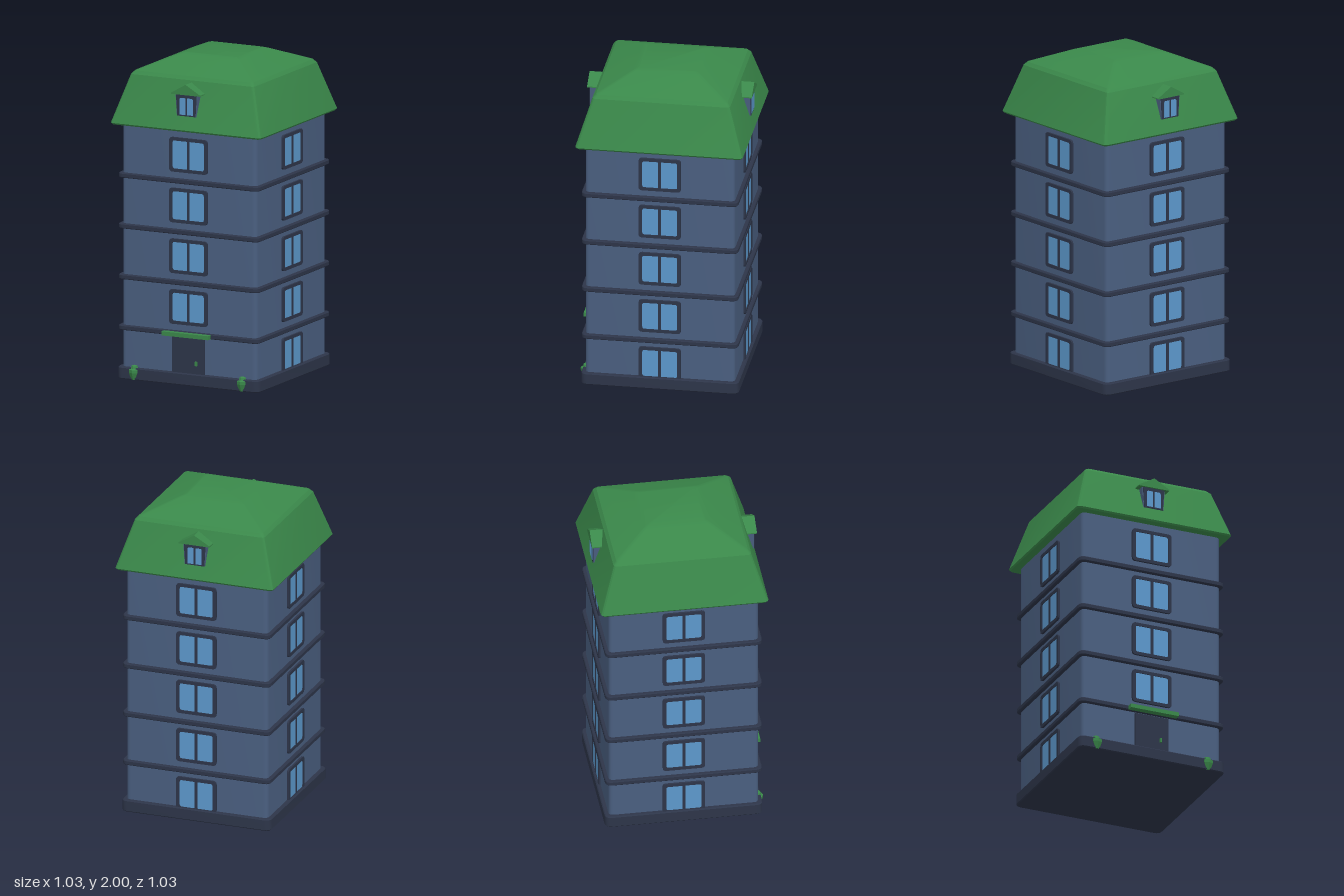
import * as THREE from 'three';
import { toCreasedNormals } from 'three/addons/utils/BufferGeometryUtils.js';

const mat = (name, color) => {
  const m = new THREE.MeshStandardMaterial({ color });
  m.name = name;
  return m;
};

export function createModel() {
  const wallBlue = mat('wallBlue', 0x4a5f80);
  const trimDark = mat('trimDark', 0x2d3549);
  const glassBlue = mat('glassBlue', 0x5c98cc);
  const roofGreen = mat('roofGreen', 0x3a884a);

  const model = new THREE.Group();
  model.name = 'towerHouse';

  const add = (parent, name, geometry, material, x = 0, y = 0, z = 0) => {
    const mesh = new THREE.Mesh(geometry, material);
    mesh.name = name;
    mesh.position.set(x, y, z);
    parent.add(mesh);
    return mesh;
  };
  const box = (parent, name, material, w, h, d, x, y, z) =>
    add(parent, name, new THREE.BoxGeometry(w, h, d), material, x, y, z);

  // Rounded rectangle outline; each corner may have its own radius (bl, br, tr, tl)
  const roundedRect = (x0, y0, x1, y1, [bl, br, tr, tl], Type = THREE.Shape) => {
    const s = new Type();
    s.moveTo(x0 + bl, y0);
    s.lineTo(x1 - br, y0);
    s.quadraticCurveTo(x1, y0, x1, y0 + br);
    s.lineTo(x1, y1 - tr);
    s.quadraticCurveTo(x1, y1, x1 - tr, y1);
    s.lineTo(x0 + tl, y1);
    s.quadraticCurveTo(x0, y1, x0, y1 - tl);
    s.lineTo(x0, y0 + bl);
    s.quadraticCurveTo(x0, y0, x0 + bl, y0);
    return s;
  };
  const extrude = (shape, depth) =>
    new THREE.ExtrudeGeometry(shape, { depth, bevelEnabled: false, curveSegments: 4 });

  // Upright square block with rounded vertical corners and softened rims
  const slab = (name, material, half, y0, y1, radius, bevel) => {
    const s = half - bevel;
    const g = new THREE.ExtrudeGeometry(roundedRect(-s, -s, s, s, Array(4).fill(radius)), {
      depth: y1 - y0 - 2 * bevel, bevelSize: bevel, bevelThickness: bevel,
      bevelEnabled: bevel > 0, bevelSegments: 1, curveSegments: 4,
    });
    g.rotateX(-Math.PI / 2);
    add(model, name, toCreasedNormals(g, 0.6), material, 0, y0 + bevel, 0);
  };

  slab('base', trimDark, 0.485, 0, 0.075, 0.035, 0.006);
  slab('walls', wallBlue, 0.46, 0.05, 1.6, 0.03, 0);
  for (let i = 0; i < 4; i++) {
    const y = 0.318 + i * 0.315;
    slab('floorBand', trimDark, 0.482, y - 0.015, y + 0.015, 0.035, 0.005);
  }

  // Double window: an open frame around two panes and a mullion
  const frameShape = roundedRect(-0.13, -0.107, 0.13, 0.107, Array(4).fill(0.022));
  frameShape.holes.push(roundedRect(-0.108, -0.087, 0.108, 0.087, Array(4).fill(0.014), THREE.Path));
  const frameGeo = extrude(frameShape, 0.025);
  const paneGeo = extrude(roundedRect(-0.112, -0.09, 0.112, 0.09, Array(4).fill(0.014)), 0.006);
  const addWindow = (side, y) => {
    const w = new THREE.Group();
    w.name = 'window';
    w.position.set(0, y, 0.448);
    add(w, 'windowFrame', frameGeo, trimDark);
    add(w, 'windowGlass', paneGeo, glassBlue, 0, 0, 0.014);
    box(w, 'mullion', trimDark, 0.018, 0.176, 0.02, 0, 0, 0.014);
    side.add(w);
  };

  // Dormer: tapered body, framed panes and a small gable roof
  const addDormer = (side) => {
    const d = new THREE.Group();
    d.name = 'dormer';
    const outline = (bottom, top, y0, y1) => new THREE.Shape([
      new THREE.Vector2(-bottom, y0), new THREE.Vector2(bottom, y0),
      new THREE.Vector2(top, y1), new THREE.Vector2(-top, y1),
    ]);
    add(d, 'dormerBody', extrude(outline(0.066, 0.076, 1.675, 1.82), 0.09), wallBlue, 0, 0, 0.403);
    add(d, 'dormerFrame', extrude(outline(0.062, 0.071, 1.675, 1.815), 0.005), trimDark, 0, 0, 0.492);
    for (const s of [-1, 1]) {
      const pane = roundedRect(-0.02, -0.052, 0.02, 0.052, s < 0 ? [0, 0, 0, 0.012] : [0, 0, 0.012, 0]);
      add(d, 'dormerGlass', extrude(pane, 0.003), glassBlue, s * 0.026, 1.735, 0.496);
    }
    const gable = new THREE.Shape([
      new THREE.Vector2(-0.1, 1.808), new THREE.Vector2(0.1, 1.808),
      new THREE.Vector2(0.1, 1.815), new THREE.Vector2(0, 1.873), new THREE.Vector2(-0.1, 1.815),
    ]);
    add(d, 'dormerRoof', extrude(gable, 0.105), roofGreen, 0, 0, 0.402);
    side.add(d);
  };

  // Four sides: front, left, back, right
  ['front', 'left', 'back', 'right'].forEach((name, k) => {
    const side = new THREE.Group();
    side.name = name + 'Side';
    side.rotation.y = k * Math.PI / 2;
    for (let f = k === 0 ? 1 : 0; f < 5; f++) addWindow(side, 0.165 + f * 0.315);
    if (k % 2 === 0) addDormer(side);
    model.add(side);
  });

  // Entrance
  box(model, 'door', trimDark, 0.22, 0.235, 0.03, 0, 0.178, 0.456);
  box(model, 'doorHandle', roofGreen, 0.013, 0.026, 0.014, 0.057, 0.14, 0.475);
  box(model, 'canopy', roofGreen, 0.32, 0.025, 0.07, 0, 0.317, 0.483);

  // Stacked little shrubs set into the front of the base
  for (const s of [-1, 1]) {
    const shrub = new THREE.Group();
    shrub.name = 'shrub';
    shrub.position.set(s * 0.37, 0, 0.465);
    const profile = [[0, 0], [0.022, 0.002], [0.03, 0.025], [0.037, 0.045], [0.037, 0.064],
      [0.024, 0.07], [0.02, 0.086], [0, 0.092]].map(([x, y]) => new THREE.Vector2(x, y));
    const g = toCreasedNormals(new THREE.LatheGeometry(profile, 8), 0.3);
    add(shrub, 'shrubLeaves', g, roofGreen);
    model.add(shrub);
  }

  // Mansard roof lofted through rounded squares: [height, half width, corner radius]
  const rings = [[1.58, 0.44, 0.02], [1.58, 0.509, 0.025], [1.59, 0.516, 0.025],
    [1.885, 0.424, 0.022], [1.906, 0.405, 0.02], [1.99, 0.208, 0.015], [2.0, 0.178, 0.01]];
  const steps = 3, count = 4 * (steps + 1);
  const pos = [], index = [];
  for (const [y, half, r] of rings) {
    for (let c = 0; c < 4; c++) {
      for (let i = 0; i <= steps; i++) {
        const a = (c + i / steps) * Math.PI / 2;
        const sx = c === 0 || c === 3 ? 1 : -1, sz = c < 2 ? 1 : -1;
        pos.push(sx * (half - r) + r * Math.cos(a), y, sz * (half - r) + r * Math.sin(a));
      }
    }
  }
  for (let j = 0; j < rings.length - 1; j++) {
    for (let i = 0; i < count; i++) {
      const a = j * count + i, b = j * count + (i + 1) % count;
      index.push(a, a + count, b, b, a + count, b + count);
    }
  }
  const last = (rings.length - 1) * count;
  for (let i = 1; i < count - 1; i++) {
    index.push(last, last + i + 1, last + i);
    index.push(0, i, i + 1);
  }
  const roofGeo = new THREE.BufferGeometry();
  roofGeo.setAttribute('position', new THREE.Float32BufferAttribute(pos, 3));
  roofGeo.setIndex(index);
  add(model, 'roof', toCreasedNormals(roofGeo, 0.35), roofGreen);

  return model;
}
